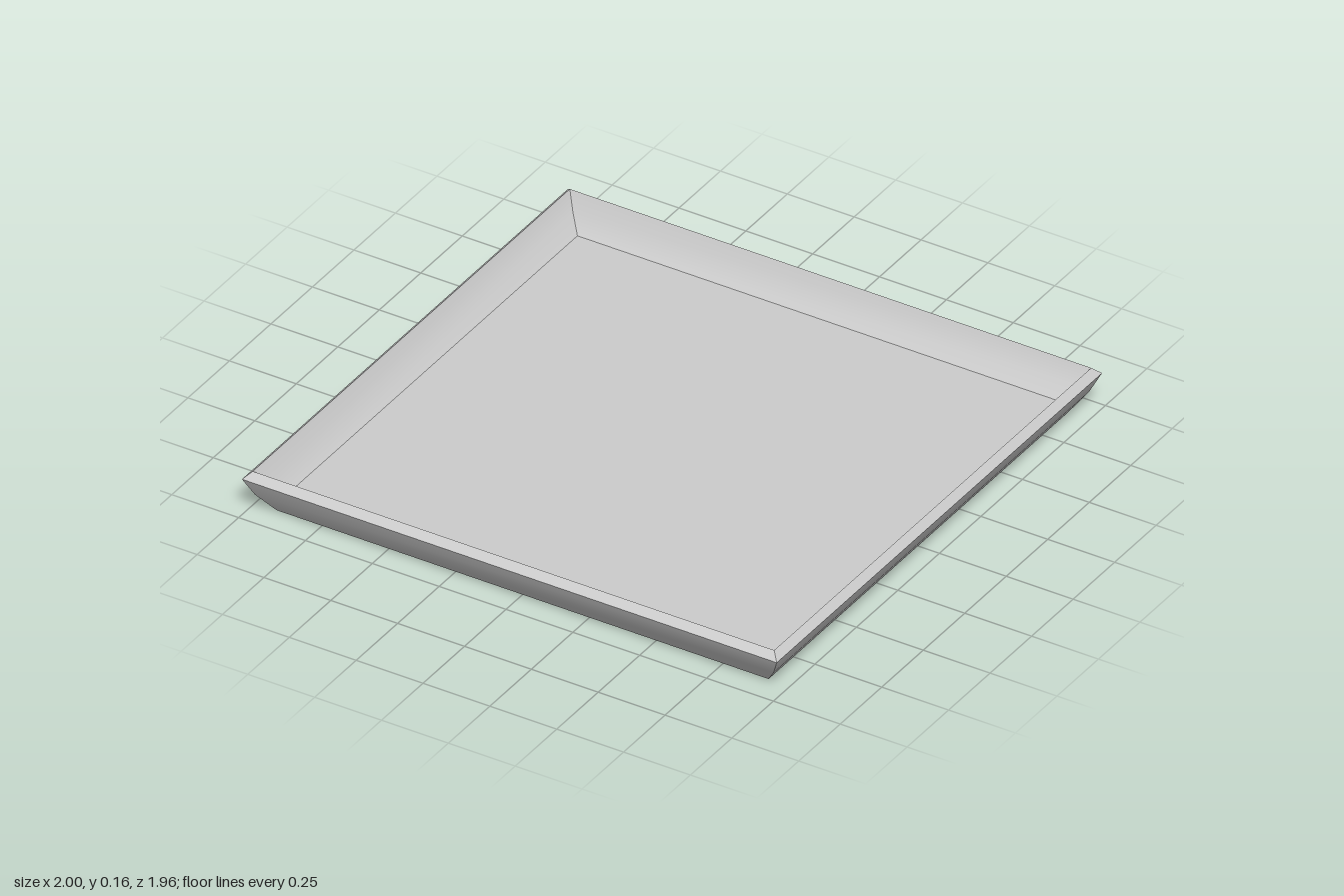
import * as THREE from 'three';

const material = new THREE.MeshStandardMaterial({ color: 0xcccccc });
const Z_INSET = 0.02; // the tray is slightly shorter in z than in x

// Four mitred strips that sweep a [halfWidth, height] profile round the rectangle;
// normals are smooth along the profile and sharp at the corners.
function mitredBand(name, profile) {
  const positions = [], index = [];
  const corners = [[-1, 1], [1, 1], [1, -1], [-1, -1]];
  for (let side = 0; side < 4; side++) {
    const ends = [corners[side], corners[(side + 1) % 4]];
    const base = positions.length / 3;
    for (const [d, y] of profile) {
      for (const [sx, sz] of ends) positions.push(sx * d, y, sz * (d - Z_INSET));
    }
    for (let i = 0; i < profile.length - 1; i++) {
      const a = base + i * 2;
      index.push(a, a + 1, a + 3, a, a + 3, a + 2);
    }
  }
  const geometry = new THREE.BufferGeometry();
  geometry.setAttribute('position', new THREE.Float32BufferAttribute(positions, 3));
  geometry.setIndex(index);
  geometry.computeVertexNormals();
  const mesh = new THREE.Mesh(geometry, material);
  mesh.name = name;
  return mesh;
}

// Flat rectangle facing up or down
function panel(name, half, y, facing) {
  const geometry = new THREE.PlaneGeometry(half * 2, (half - Z_INSET) * 2);
  geometry.rotateX(-facing * Math.PI / 2);
  const mesh = new THREE.Mesh(geometry, material);
  mesh.position.y = y;
  mesh.name = name;
  return mesh;
}

export function createModel() {
  const tray = new THREE.Group();
  tray.name = 'tray';
  tray.add(
    // Flared outside, bevelled lip, curved inside
    mitredBand('outerWall', [[0.92, 0], [0.97, 0.07], [1, 0.135]]),
    mitredBand('lip', [[1, 0.135], [0.975, 0.16]]),
    mitredBand('innerWall', [[0.975, 0.16], [0.945, 0.1], [0.9, 0.05]]),
    panel('floor', 0.9, 0.05, 1),
    panel('underside', 0.92, 0, -1)
  );
  return tray;
}
